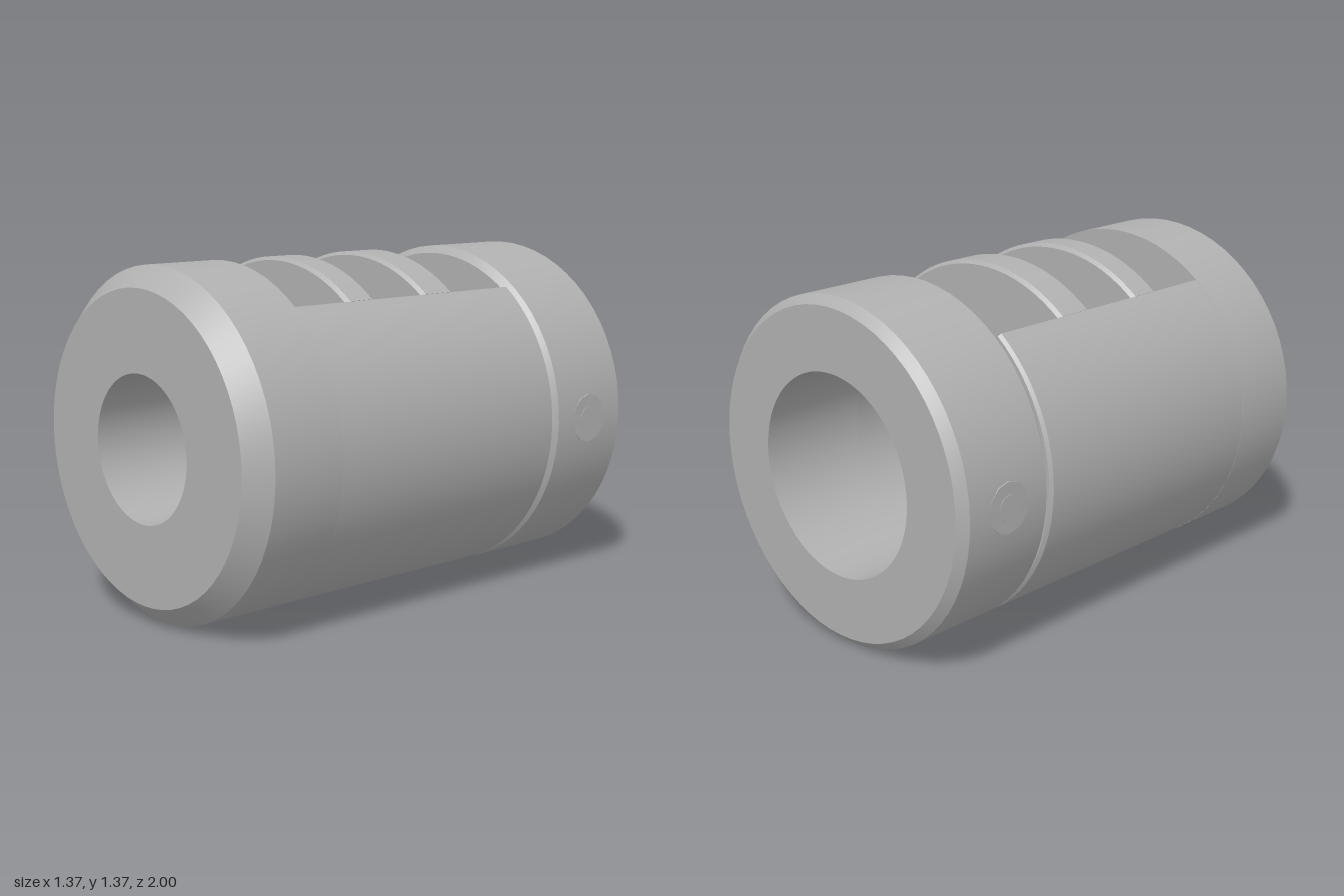
import * as THREE from 'three';
import { mergeGeometries, toCreasedNormals } from 'three/addons/utils/BufferGeometryUtils.js';

const R = 0.685;                          // outer radius, also the axis height
const BORE = 0.4;                         // main bore radius
const FRONT_BORE = 0.287;                 // narrower bore in the nose
const HALF = Math.atan2(0.42, 0.54);      // half angle of the top window

// Revolve a counter-clockwise [radius, z] profile round the z axis.
// Angle 0 is at the bottom, PI at the top; partial sweeps get end faces.
function revolve(profile, start = 0, sweep = Math.PI * 2, segments = 64) {
  const points = profile.map(([r, z]) => new THREE.Vector2(r, z));
  const parts = [new THREE.LatheGeometry([...points, points[0].clone()], segments, start, sweep)];
  if (sweep < Math.PI * 2) {
    [start, start + sweep].forEach((angle, i) => {
      const face = new THREE.ShapeGeometry(new THREE.Shape(points));
      if (i === 1) face.index.array.reverse();
      parts.push(face.rotateY(angle - Math.PI / 2));
    });
  }
  return toCreasedNormals(mergeGeometries(parts).rotateX(Math.PI / 2), 0.4);
}

export function createModel() {
  const model = new THREE.Group();
  model.name = 'slottedSleeve';
  const steel = new THREE.MeshStandardMaterial({ color: 0xb0b0b0 });
  steel.name = 'grey metal';

  const add = (name, geometry, x = 0, y = R, z = 0) => {
    const mesh = new THREE.Mesh(geometry, steel);
    mesh.name = name;
    mesh.position.set(x, y, z);
    model.add(mesh);
    return mesh;
  };

  // Nose ring with a wide front chamfer and the narrow bore
  add('frontCollar', revolve([
    [FRONT_BORE, 0.6], [R, 0.6], [R, 0.915], [0.605, 1], [FRONT_BORE, 1],
  ]));

  // Rear ring, chamfered on both rims
  add('rearCollar', revolve([
    [BORE, -1], [0.65, -1], [R, -0.965], [R, -0.58], [0.655, -0.55], [BORE, -0.55],
  ]));

  // Middle tube, open at the top between two radial walls
  add('slottedBody', revolve([
    [BORE, -0.552], [0.672, -0.552], [R - 0.001, -0.54], [R - 0.001, 0.6], [BORE, 0.6],
  ], Math.PI + HALF, 2 * (Math.PI - HALF)));

  // Two chamfered arches bridging the window
  const c = 0.014;
  [[0.2, 0.34], [-0.225, -0.06]].forEach(([z0, z1], i) => {
    add(i === 0 ? 'frontBridge' : 'rearBridge', revolve([
      [BORE, z0], [R - c, z0], [R, z0 + c], [R, z1 - c], [R - c, z1], [BORE, z1],
    ], Math.PI - HALF, 2 * HALF, 20));
  });

  // Flat side plugs with a small centre pin
  for (const side of [1, -1]) {
    const label = side > 0 ? 'left' : 'right';
    for (const [part, radius, reach] of [['Plug', 0.1, 0.684], ['PlugPin', 0.05, 0.686]]) {
      const plug = new THREE.CylinderGeometry(radius, radius, 0.08, 12).rotateZ(Math.PI / 2);
      add(label + part, toCreasedNormals(plug, 0.6), side * (reach - 0.04), R, -0.77);
    }
  }
  return model;
}
